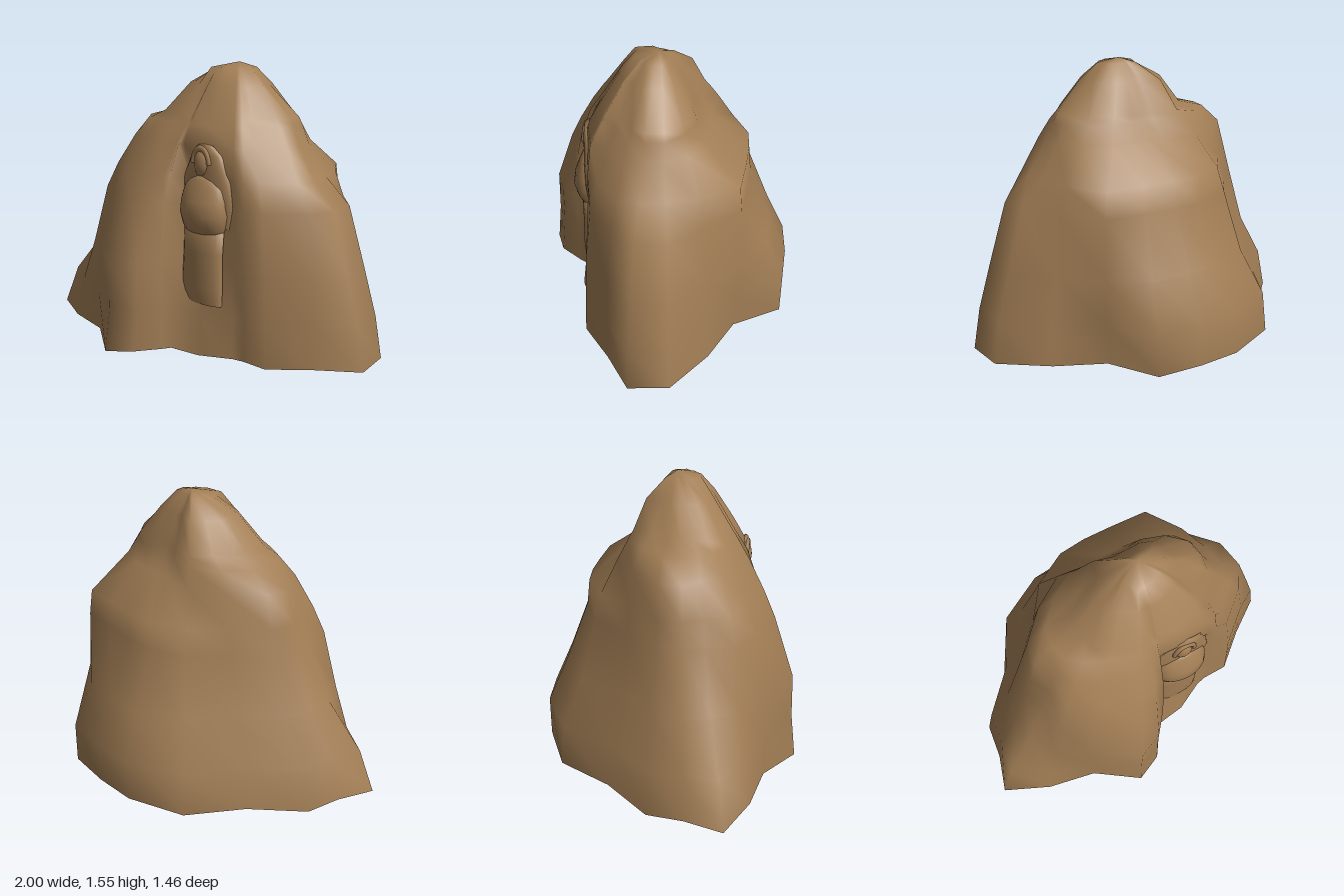
import * as THREE from 'three';

// Skin a stack of rings (each an array of [x, y, z]) and close the top with one point
function loft(rings, apex, closed) {
  const n = rings[0].length;
  const pos = rings.flat(2).concat(apex);
  const index = [];
  for (let j = 0; j < rings.length; j++) {
    for (let i = 0; i < (closed ? n : n - 1); i++) {
      const a = j * n + i, b = j * n + (i + 1) % n;
      if (j === rings.length - 1) index.push(a, b, rings.length * n);
      else index.push(a, b, a + n, b, b + n, a + n);
    }
  }
  const g = new THREE.BufferGeometry();
  g.setAttribute('position', new THREE.Float32BufferAttribute(pos, 3));
  g.setIndex(index);
  g.computeVertexNormals();
  return g;
}

// Front half of an elliptical body from rows of [y, centre x, centre z, half width, depth]
function reliefLoft(rows, sides = 14) {
  const rings = rows.map(([y, cx, cz, rx, rz]) =>
    Array.from({ length: sides + 1 }, (_, i) => {
      const a = Math.PI * (1 + i / sides);
      return [cx + rx * Math.cos(a), y, cz - rz * Math.sin(a)];
    }));
  const t = rows[rows.length - 1];
  return loft(rings, [t[1], t[0] + 0.004, t[2]], false);
}

export function createModel() {
  const group = new THREE.Group();
  const stone = new THREE.MeshStandardMaterial({ color: 0xa27e55, side: THREE.DoubleSide });
  stone.name = 'brown stone';
  const add = (name, geometry) => {
    const m = new THREE.Mesh(geometry, stone);
    m.name = name;
    group.add(m);
    return m;
  };

  // Rock: each column runs from a foot point to the summit axis along a slope profile
  const levels = [0.02, 0.25, 0.5, 0.83, 0.97, 1.14, 1.24, 1.28, 1.44, 1.53];
  const axisX = 0.1;
  const slope = {
    leftEnd: [1, 0.955, 0.875, 0.765, 0.61, 0.49, 0.445, 0.42, 0.22, 0.13],
    leftBack: [1, 0.98, 0.92, 0.84, 0.77, 0.57, 0.48, 0.45, 0.27, 0.12],
    backLedge: [1, 1.03, 1.05, 1.02, 0.99, 0.55, 0.46, 0.43, 0.26, 0.1],
    back: [1, 1, 0.85, 0.68, 0.66, 0.37, 0.29, 0.265, 0.165, 0.06],
    rightBack: [1, 0.97, 0.81, 0.69, 0.64, 0.5, 0.41, 0.37, 0.26, 0.1],
    rightEnd: [1, 0.95, 0.81, 0.71, 0.67, 0.62, 0.51, 0.36, 0.235, 0.07],
    rightToe: [1, 0.92, 0.75, 0.62, 0.57, 0.52, 0.46, 0.34, 0.21, 0.07],
    rightFront: [1, 0.95, 0.87, 0.78, 0.71, 0.6, 0.5, 0.42, 0.27, 0.11],
    rightGroove: [1, 1, 0.98, 0.87, 0.78, 0.65, 0.54, 0.48, 0.31, 0.15],
    buttress: [1, 0.96, 0.95, 0.79, 0.7, 0.57, 0.48, 0.44, 0.29, 0.2],
    nicheEdge: [1, 1, 1, 0.95, 0.89, 0.77, 0.64, 0.59, 0.4, 0.26],
    nicheCorner: [1, 0.91, 0.8, 0.72, 0.71, 0.78, 0.68, 0.63, 0.43, 0.28],
    niche: [1, 0.94, 0.82, 0.76, 0.75, 0.84, 0.72, 0.67, 0.45, 0.28],
    nicheSide: [1, 1, 0.98, 0.96, 0.95, 0.9, 0.76, 0.71, 0.46, 0.25],
    leftFront: [1, 0.98, 0.95, 0.87, 0.77, 0.64, 0.55, 0.5, 0.32, 0.18],
  };
  const columns = [
    [1, 0.02, 'leftEnd'], [0.96, -0.2, 'leftEnd'], [0.7, -0.37, 'leftBack'],
    [0.43, -0.48, 'backLedge'], [0.26, -0.73, 'back'], [0, -0.73, 'back'],
    [-0.24, -0.7, 'back'], [-0.54, -0.55, 'rightBack'], [-0.7, -0.25, 'rightEnd'],
    [-0.92, 0, 'rightEnd'], [-0.94, 0.2, 'rightEnd'], [-1, 0.41, 'rightToe'],
    [-0.74, 0.52, 'rightFront'], [-0.46, 0.57, 'rightGroove'], [-0.21, 0.73, 'buttress'],
    [-0.06, 0.66, 'buttress'], [0.03, 0.52, 'nicheEdge'], [0.05, 0.48, 'nicheCorner'],
    [0.23, 0.45, 'niche'], [0.4, 0.36, 'nicheSide'], [0.46, 0.345, 'nicheSide'],
    [0.61, 0.34, 'leftFront'], [0.8, 0.17, 'leftFront'],
  ];
  const rings = levels.map((y, j) => columns.map(([x, z, kind]) => {
    const k = slope[kind][j];
    const lowest = j === 0 && x === -0.21 ? 0 : y;
    return [axisX + (x - axisX) * k, lowest, z * k];
  }));
  add('rock', loft(rings, [0.11, 1.555, 0], true));

  // Standing figure in relief in the niche
  add('gown', reliefLoft([
    [0.3, 0.19, 0.375, 0.145, 0.045], [0.4, 0.19, 0.37, 0.147, 0.058],
    [0.58, 0.19, 0.36, 0.138, 0.065], [0.72, 0.195, 0.355, 0.14, 0.07],
  ]));
  add('armsAndChest', reliefLoft([
    [0.68, 0.195, 0.355, 0.125, 0.065], [0.72, 0.2, 0.355, 0.145, 0.092],
    [0.79, 0.2, 0.355, 0.16, 0.112], [0.86, 0.2, 0.355, 0.154, 0.1],
    [0.93, 0.2, 0.355, 0.135, 0.073], [0.97, 0.2, 0.355, 0.095, 0.054],
    [0.99, 0.2, 0.355, 0.05, 0.042],
  ]));
  add('veil', reliefLoft([
    [0.72, 0.205, 0.335, 0.165, 0.045],
    [0.84, 0.205, 0.335, 0.185, 0.055], [0.96, 0.195, 0.34, 0.172, 0.055],
    [1.04, 0.205, 0.345, 0.13, 0.05], [1.1, 0.21, 0.35, 0.105, 0.045],
    [1.152, 0.215, 0.365, 0.05, 0.025],
  ]));
  const head = add('head', new THREE.SphereGeometry(1, 18, 12));
  head.scale.set(0.055, 0.078, 0.042);
  head.position.set(0.2, 1.055, 0.372);
  const hood = add('hoodRim', new THREE.TorusGeometry(0.058, 0.014, 8, 16, Math.PI));
  hood.scale.set(1, 1.35, 1);
  hood.position.set(0.2, 1.055, 0.388);

  return group;
}
